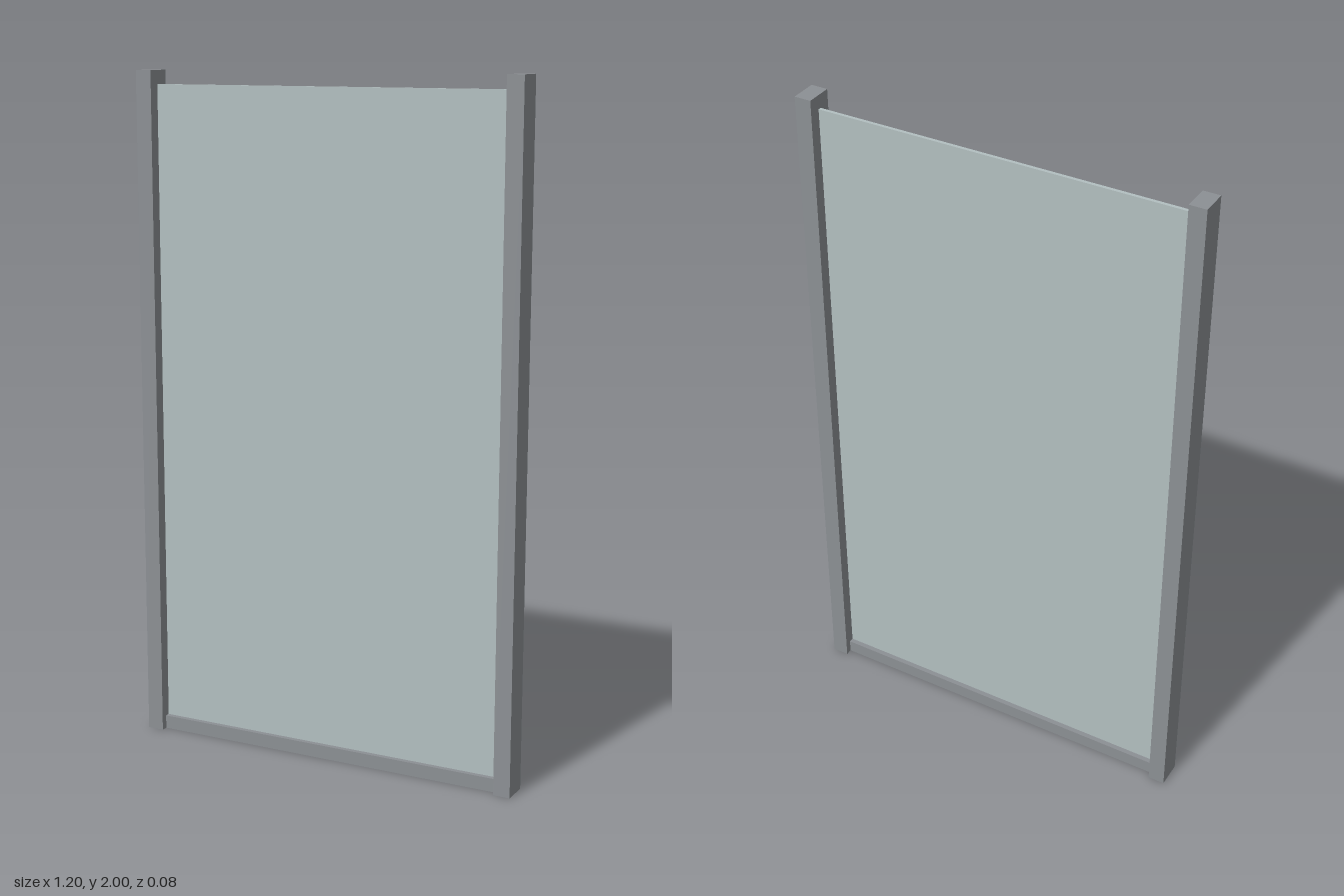
import * as THREE from 'three';

const frameMaterial = new THREE.MeshStandardMaterial({ color: 0x8c9094 });
const glassMaterial = new THREE.MeshStandardMaterial({ color: 0xb2bfc0 });

// Box standing with its base at height y
function addBox(group, name, material, [w, h, d], x, y) {
  const mesh = new THREE.Mesh(new THREE.BoxGeometry(w, h, d), material);
  mesh.name = name;
  mesh.position.set(x, y + h / 2, 0);
  group.add(mesh);
}

export function createModel() {
  const group = new THREE.Group();
  group.name = 'glassPanel';

  // Side posts
  for (const [name, side] of [['leftPost', 1], ['rightPost', -1]]) {
    addBox(group, name, frameMaterial, [0.05, 2, 0.08], side * 0.575, 0);
  }

  // Bottom rail between the posts
  addBox(group, 'bottomRail', frameMaterial, [1.1, 0.04, 0.04], 0, 0);

  // Thin pane standing on the rail, open along the top
  addBox(group, 'glassPane', glassMaterial, [1.1, 1.92, 0.01], 0, 0.04);

  return group;
}
